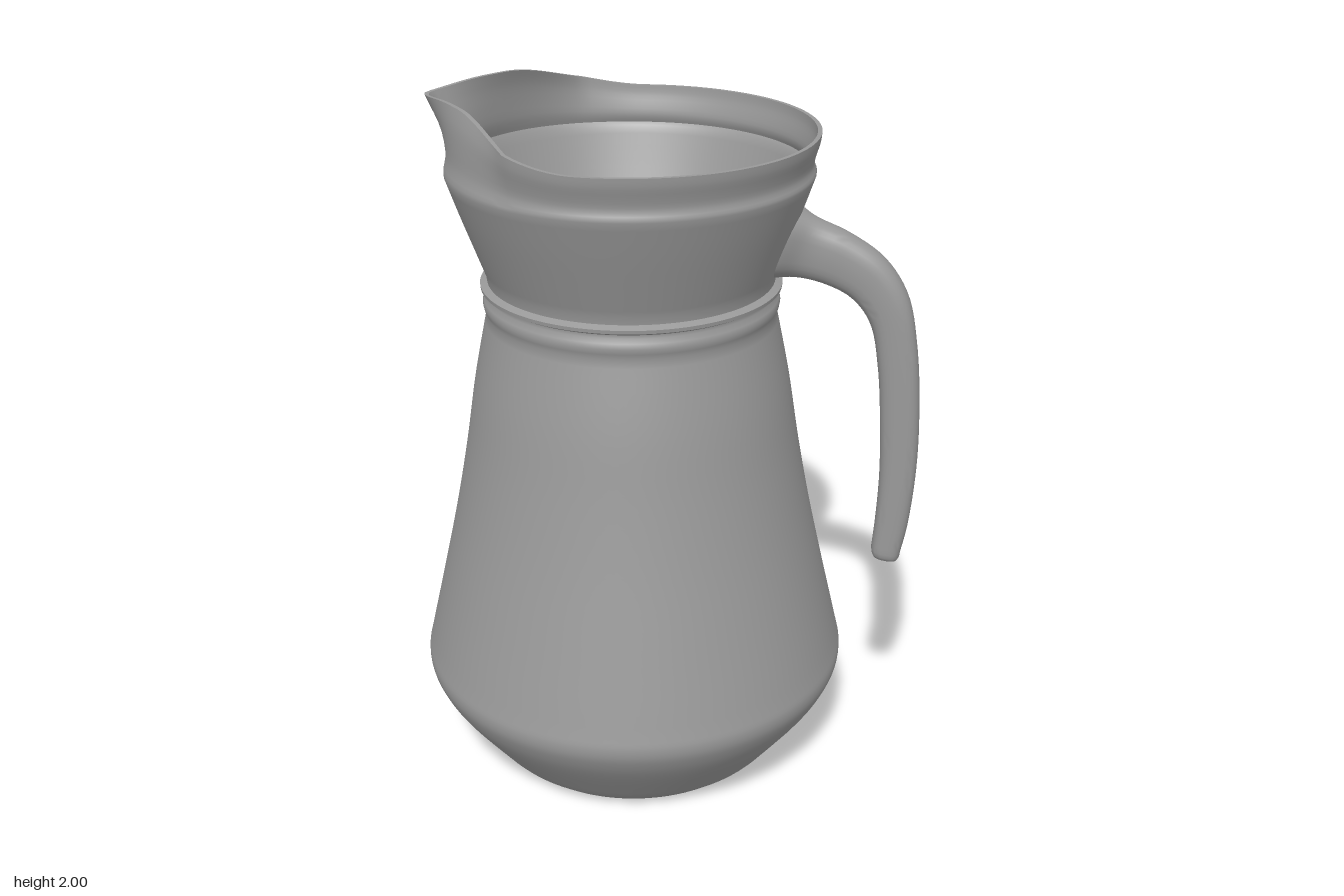
import * as THREE from 'three';
import { mergeVertices, toCreasedNormals } from 'three/addons/utils/BufferGeometryUtils.js';

const grey = new THREE.MeshStandardMaterial({ color: 0x999999 });
grey.name = 'grey';

const AXIS_X = -0.1, RIM_Y = 1.915, COLLAR_Y = 1.8, WALL = 0.02;
const V2 = (p) => new THREE.Vector2(p[0], p[1]);
const spline = (pts, n) => new THREE.SplineCurve(pts.map(V2)).getPoints(n);

// Weld, then recompute normals with sharp edges kept
function finish(geometry, angle) {
  geometry.deleteAttribute('uv');
  geometry.deleteAttribute('normal');
  return toCreasedNormals(mergeVertices(geometry, 1e-5), angle);
}

// Pulls the rim into a raised pointed spout on the -x side, and hollows the handle root
function shapeVessel(geometry, innerFrom, rows) {
  const pos = geometry.attributes.position;
  for (let k = 0; k < pos.count; k++) {
    let x = pos.getX(k), y = pos.getY(k), z = pos.getZ(k);
    let r = Math.hypot(x, z);
    if (r < 1e-4) continue;
    const phi = Math.abs(Math.atan2(z, -x));
    const inner = k % rows >= innerFrom;
    if (y > COLLAR_Y) {
      const t = (y - COLLAR_Y) / (RIM_Y - COLLAR_Y);
      const soft = Math.hypot(phi, 0.05);
      if (phi < 1.13) {
        const rim = 0.465 / Math.cos(soft - 0.663) - (inner ? 0.012 : 0);
        const full = inner ? 0.503 : 0.515;
        r += Math.pow(t, 1.7) * Math.min(0.075, rim - full);
      }
      const lift = 0.085 * (1 - THREE.MathUtils.smoothstep(phi, 0.52, 1.48));
      y += t * (lift - 0.015 * Math.exp(-Math.pow(phi / 0.22, 2)));
    }
    if (inner) {
      const a = (Math.PI - phi) / 0.1, b = (y - 1.62) / 0.05;
      r += 0.05 * Math.exp(-a * a - b * b);
    }
    const s = r / Math.hypot(x, z);
    pos.setXYZ(k, x * s, y, z * s);
  }
}

function makeVessel() {
  const base = [[0, 0.004], [0.39, 0.004], [0.42, 0.012], [0.452, 0.04]].map(V2);
  const belly = spline([[0.465, 0.055], [0.57, 0.195], [0.615, 0.27], [0.63, 0.325], [0.617, 0.39],
    [0.572, 0.58], [0.522, 0.8], [0.483, 1.0], [0.45, 1.2], [0.413, 1.38]], 40);
  // raised bands at the neck
  const bands = [[0.408, 1.405], [0.414, 1.42], [0.417, 1.435], [0.414, 1.45], [0.405, 1.462],
    [0.406, 1.472], [0.421, 1.48], [0.422, 1.49], [0.402, 1.498]].map(V2);
  const collar = spline([[0.405, 1.52], [0.434, 1.6], [0.47, 1.7], [0.504, 1.8]], 10);
  const lip = spline([[0.504, 1.808], [0.497, 1.83], [0.503, 1.86], [0.512, 1.89], [0.515, RIM_Y]], 10);
  const outer = [...base, ...belly, ...bands, ...collar, ...lip];
  // inside wall, running back down to the floor
  const inside = [
    ...lip.map((p) => V2([p.x - 0.012, p.y])).reverse(),
    ...collar.map((p) => V2([p.x - WALL, p.y])).reverse(),
    V2([0.384, 1.46]),
    ...belly.filter((p) => p.y > 0.07).map((p) => V2([p.x - WALL, p.y])).reverse(),
    V2([0.41, 0.03]), V2([0, 0.03]),
  ];
  const profile = [...outer, ...inside];
  const geometry = new THREE.LatheGeometry(profile, 120);
  shapeVessel(geometry, outer.length, profile.length);
  const mesh = new THREE.Mesh(finish(geometry, 0.75), grey);
  mesh.name = 'vessel';
  mesh.position.x = AXIS_X;
  return mesh;
}

// Handle: rounded sections spanned between an upper/outer edge and a lower/inner edge
function makeHandle() {
  const V3 = (p) => new THREE.Vector3(p[0], p[1], p[2] || 0);
  // x, y, half width in z
  const outerEdge = new THREE.CatmullRomCurve3([[0.36, 1.715, 0.1], [0.41, 1.685, 0.066], [0.5, 1.647, 0.054],
    [0.6, 1.58, 0.051], [0.668, 1.48, 0.051], [0.703, 1.33, 0.051], [0.722, 1.12, 0.051],
    [0.724, 0.95, 0.051], [0.711, 0.78, 0.051], [0.695, 0.69, 0.051]].map(V3));
  const innerEdge = new THREE.CatmullRomCurve3([[0.295, 1.522], [0.36, 1.522], [0.44, 1.505],
    [0.515, 1.468], [0.568, 1.4], [0.597, 1.27], [0.614, 1.08],
    [0.62, 0.93], [0.616, 0.79], [0.61, 0.7]].map(V3));
  const N = 28, STEPS = 48, verts = [], index = [];
  const power = (c) => Math.sign(c) * Math.pow(Math.abs(c), 0.7);
  let rings = 0;
  function ring(o, i, halfZ, scale, drop) {
    for (let j = 0; j < N; j++) {
      const a = (j / N) * Math.PI * 2, c = power(Math.cos(a)) * scale, s = power(Math.sin(a)) * scale;
      verts.push((o.x + i.x) / 2 + (o.x - i.x) / 2 * c, (o.y + i.y) / 2 + (o.y - i.y) / 2 * c - drop, halfZ * s);
    }
    rings++;
  }
  for (let k = 0; k <= STEPS; k++) {
    const o = outerEdge.getPoint(k / STEPS), i = innerEdge.getPoint(k / STEPS);
    ring(o, i, o.z, 1, 0);
  }
  // rounded lower tip
  const o = outerEdge.getPoint(1), i = innerEdge.getPoint(1);
  for (const [scale, drop] of [[0.97, 0.012], [0.87, 0.022], [0.7, 0.027], [0, 0.028]]) ring(o, i, o.z, scale, drop);
  for (let k = 0; k < rings - 1; k++) {
    for (let j = 0; j < N; j++) {
      const a = k * N + j, b = k * N + (j + 1) % N;
      index.push(a, b, a + N, b, b + N, a + N);
    }
  }
  const geometry = new THREE.BufferGeometry();
  geometry.setAttribute('position', new THREE.Float32BufferAttribute(verts, 3));
  geometry.setIndex(index);
  const mesh = new THREE.Mesh(finish(geometry, 0.9), grey);
  mesh.name = 'handle';
  return mesh;
}

export function createModel() {
  const group = new THREE.Group();
  group.name = 'pitcher';
  group.add(makeVessel(), makeHandle());
  return group;
}
